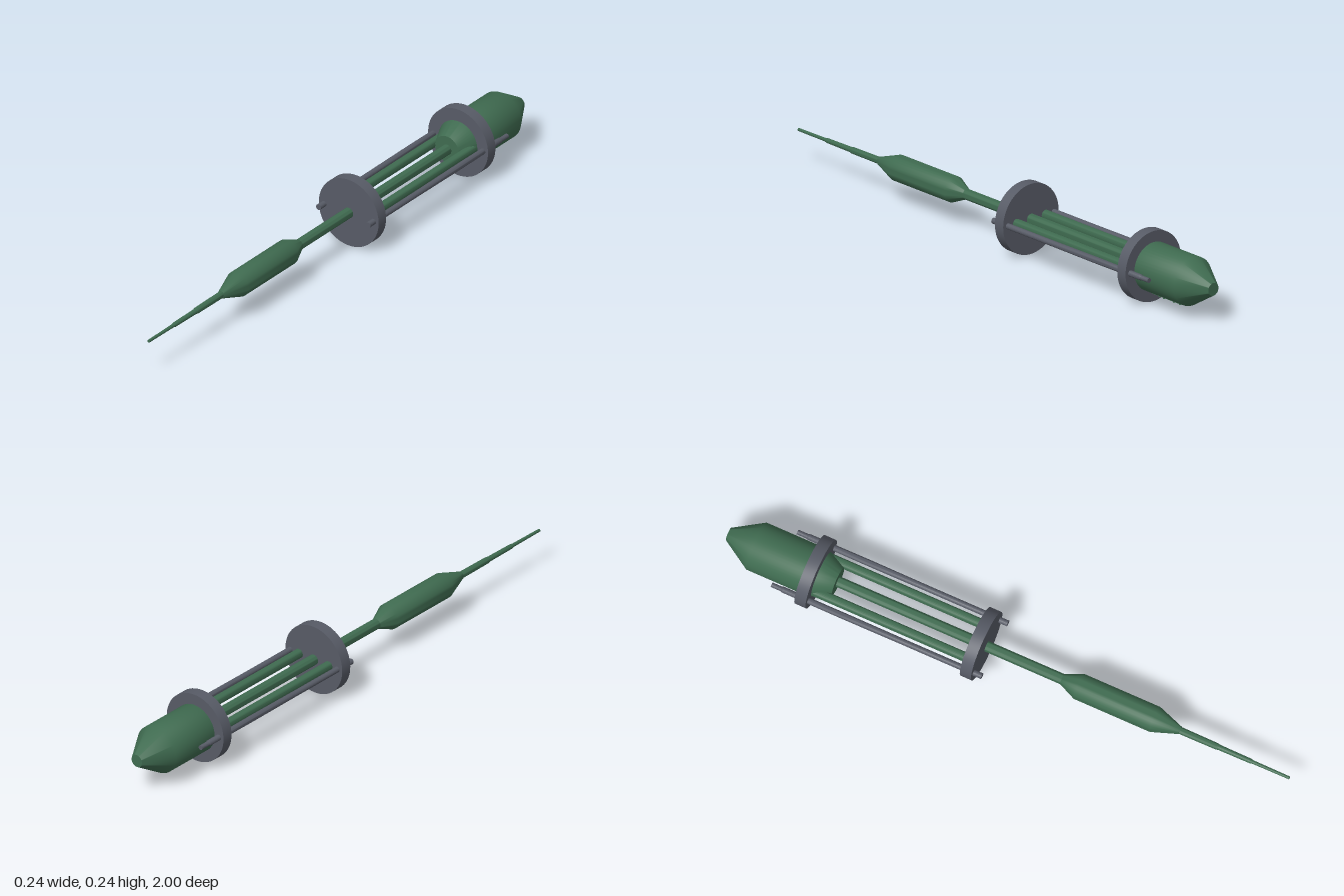
import * as THREE from 'three';
import { toCreasedNormals } from 'three/addons/utils/BufferGeometryUtils.js';

const AXIS_Y = 0.122;

export function createModel() {
  const model = new THREE.Group();
  model.name = 'probe';

  const green = new THREE.MeshStandardMaterial({ color: 0x3f6b50 });
  green.name = 'dark green';
  const gray = new THREE.MeshStandardMaterial({ color: 0x575b66 });
  gray.name = 'slate gray';

  // Turned part along z: profile is a list of [z, radius] from back to front, capped at both ends
  function turned(name, profile, material, x = 0, sides = 32) {
    const first = profile[0], last = profile[profile.length - 1];
    const points = [[first[0], 0], ...profile, [last[0], 0]].map(([z, r]) => new THREE.Vector2(r, z));
    const lathe = new THREE.LatheGeometry(points, sides).rotateX(Math.PI / 2);
    const mesh = new THREE.Mesh(toCreasedNormals(lathe, 0.65), material);
    mesh.name = name;
    mesh.position.set(x, AXIS_Y, 0);
    model.add(mesh);
  }

  // Rear body with tapered ends
  turned('rearBody', [[-1, 0.022], [-0.9, 0.083], [-0.68, 0.083], [-0.61, 0.048]], green, 0, 48);

  // Central shaft, swollen front barrel and stepped needle
  turned('centralShaft', [[-0.65, 0.018], [0.2, 0.018]], green);
  turned('frontBarrel', [[0.19, 0.018], [0.25, 0.044], [0.52, 0.044], [0.61, 0.013]], green);
  turned('needle', [[0.6, 0.012], [0.74, 0.011], [0.75, 0.009], [0.86, 0.008], [0.87, 0.006], [1, 0.005]], green, 0, 20);

  // Two end discs of the cage
  for (const [name, z] of [['frontDisc', -0.1], ['rearDisc', -0.69]]) {
    turned(name, [[z - 0.02, 0.121], [z + 0.02, 0.121]], gray, 0, 64);
  }

  // Inner tubes and outer tie rods on both sides
  for (const [side, s] of [['left', 1], ['right', -1]]) {
    turned(side + 'InnerTube', [[-0.68, 0.016], [-0.1, 0.016]], green, s * 0.063, 24);
    turned(side + 'TieRod',
      [[-0.8, 0.008], [-0.765, 0.008], [-0.76, 0.010], [-0.55, 0.011], [-0.33, 0.010], [-0.05, 0.010]],
      gray, s * 0.1, 20);
  }

  // Small mounting rail and pins under the rear body
  const rail = new THREE.Mesh(new THREE.BoxGeometry(0.03, 0.012, 0.13), green);
  rail.name = 'bellyRail';
  rail.position.set(0, 0.04, -0.785);
  model.add(rail);
  for (const z of [-0.74, -0.762, -0.81, -0.84]) {
    const pin = new THREE.Mesh(new THREE.CylinderGeometry(0.004, 0.004, 0.015, 10), green);
    pin.name = 'bellyPin';
    pin.position.set(0, 0.032, z);
    model.add(pin);
  }
  return model;
}
